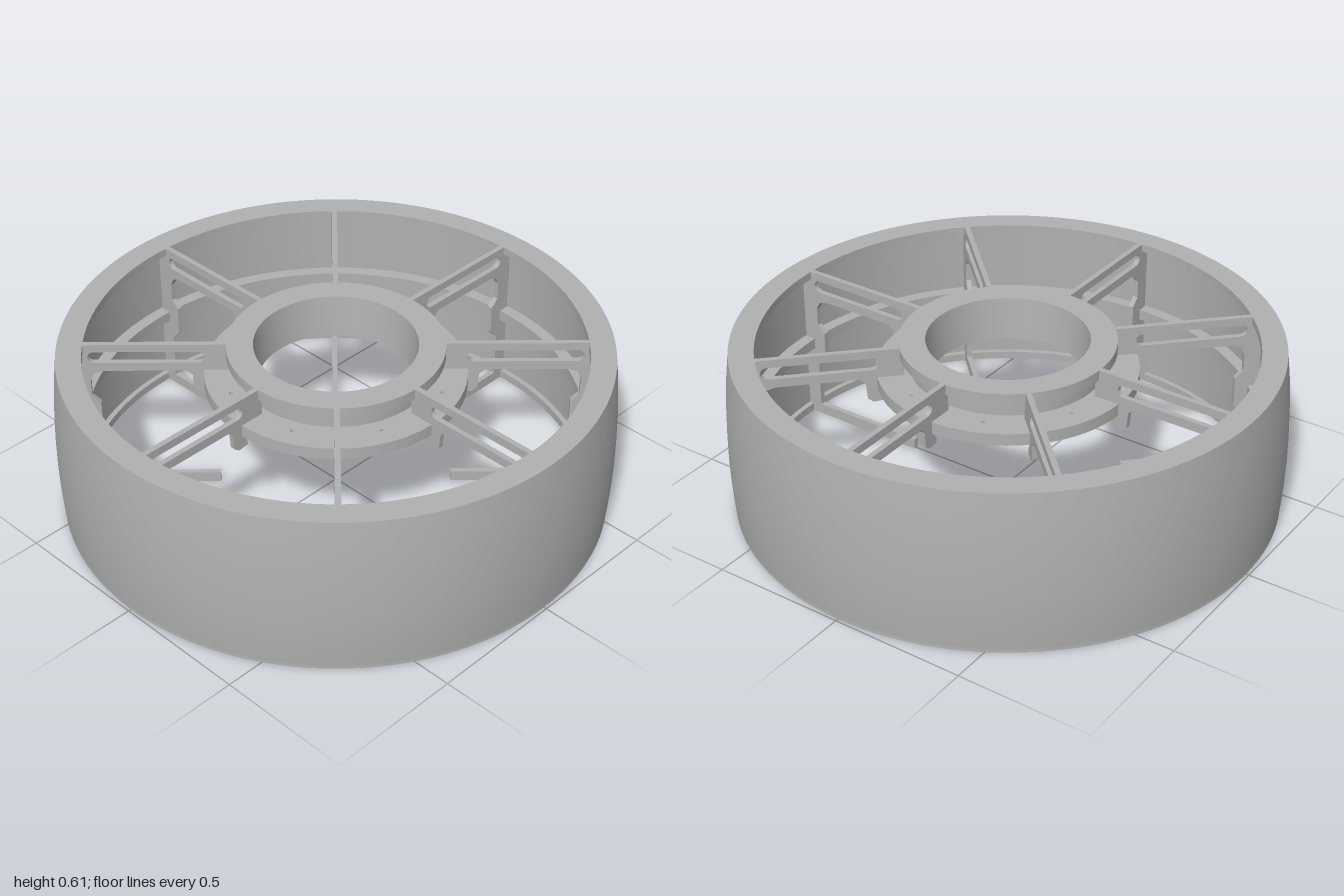
import * as THREE from 'three';
import { toCreasedNormals } from 'three/addons/utils/BufferGeometryUtils.js';

const COUNT = 8;
const STEP = Math.PI * 2 / COUNT;
const vec = ([x, y]) => new THREE.Vector2(x, y);

// Solid of revolution from a closed counter-clockwise (radius, y) profile
function revolve(points, segments = 128) {
  const closed = [...points, points[0]].map(vec);
  return toCreasedNormals(new THREE.LatheGeometry(closed, segments), 0.45);
}

// Flat ring with small screw holes between the spokes, base at y = 0
function drilledRing(outer, inner, height, holeAt, holeSize) {
  const shape = new THREE.Shape();
  shape.absarc(0, 0, outer, 0, Math.PI * 2, false);
  const bore = new THREE.Path();
  bore.absarc(0, 0, inner, 0, Math.PI * 2, true);
  shape.holes.push(bore);
  for (let i = 0; i < COUNT; i++) {
    const a = (i + 0.5) * STEP;
    const hole = new THREE.Path();
    hole.absarc(Math.cos(a) * holeAt, Math.sin(a) * holeAt, holeSize, 0, Math.PI * 2, true);
    shape.holes.push(hole);
  }
  const geo = new THREE.ExtrudeGeometry(shape, { depth: height, bevelEnabled: false, curveSegments: 64 });
  geo.rotateX(-Math.PI / 2);
  return toCreasedNormals(geo, 0.45);
}

// Rounded slot running along x
function slot(x0, x1, y, r) {
  const path = new THREE.Path();
  path.absarc(x0 + r, y, r, Math.PI * 1.5, Math.PI / 2, true);
  path.absarc(x1 - r, y, r, Math.PI / 2, -Math.PI / 2, true);
  path.closePath();
  return path;
}

export function createModel() {
  const model = new THREE.Group();
  model.name = 'spokedWheel';
  const grey = new THREE.MeshStandardMaterial({ color: 0xb0b0b0 });
  grey.name = 'grey';
  const add = (name, geo, parent = model) => {
    const mesh = new THREE.Mesh(geo, grey);
    mesh.name = name;
    parent.add(mesh);
    return mesh;
  };

  // Crowned rim with a top lip, a middle rib and a bottom lip inside
  add('rim', revolve([
    [0.99, 0.012], [0.994, 0.06], [0.998, 0.13], [1.0, 0.21], [0.999, 0.30], [0.995, 0.40],
    [0.987, 0.51], [0.975, 0.61],
    [0.885, 0.61], [0.885, 0.58], [0.93, 0.58],
    [0.93, 0.325], [0.885, 0.325], [0.885, 0.285], [0.93, 0.285],
    [0.93, 0.03], [0.91, 0.03], [0.91, 0.012],
  ]));
  add('rimBase', drilledRing(0.99, 0.91, 0.012, 0.945, 0.007));

  // Hub: tapered bore, top flange, neck and stepped underside
  add('hub', revolve([
    [0.275, 0.452], [0.31, 0.452], [0.31, 0.466], [0.345, 0.466],
    [0.345, 0.57], [0.385, 0.57], [0.385, 0.61], [0.29, 0.61],
  ], 96));
  add('hubDisc', drilledRing(0.465, 0.335, 0.045, 0.395, 0.007)).position.y = 0.458;

  // Spoke plate: two upper arms, hook over the disc, jogged post and free lower arm
  const plate = new THREE.Shape([
    [0.42, 0], [0.912, 0], [0.912, 0.03], [0.925, 0.03], [0.925, 0.58], [0.885, 0.58],
    [0.885, 0.61], [0.384, 0.61], [0.384, 0.568], [0.37, 0.568], [0.37, 0.5], [0.46, 0.5],
    [0.46, 0.45], [0.44, 0.43], [0.44, 0.41], [0.48, 0.405], [0.50, 0.42], [0.505, 0.48], [0.525, 0.5],
    [0.82, 0.5], [0.85, 0.49], [0.865, 0.46], [0.865, 0.39], [0.835, 0.36], [0.835, 0.25],
    [0.87, 0.215], [0.87, 0.04], [0.42, 0.04],
  ].map(vec));
  plate.holes.push(slot(0.46, 0.87, 0.557, 0.023));
  const spokeGeo = new THREE.ExtrudeGeometry(plate, { depth: 0.02, bevelEnabled: false, curveSegments: 8 });
  spokeGeo.translate(0, 0, -0.01);

  const spokes = new THREE.Group();
  spokes.name = 'spokes';
  model.add(spokes);
  for (let i = 0; i < COUNT; i++) add('spoke', spokeGeo, spokes).rotation.y = i * STEP;

  return model;
}
